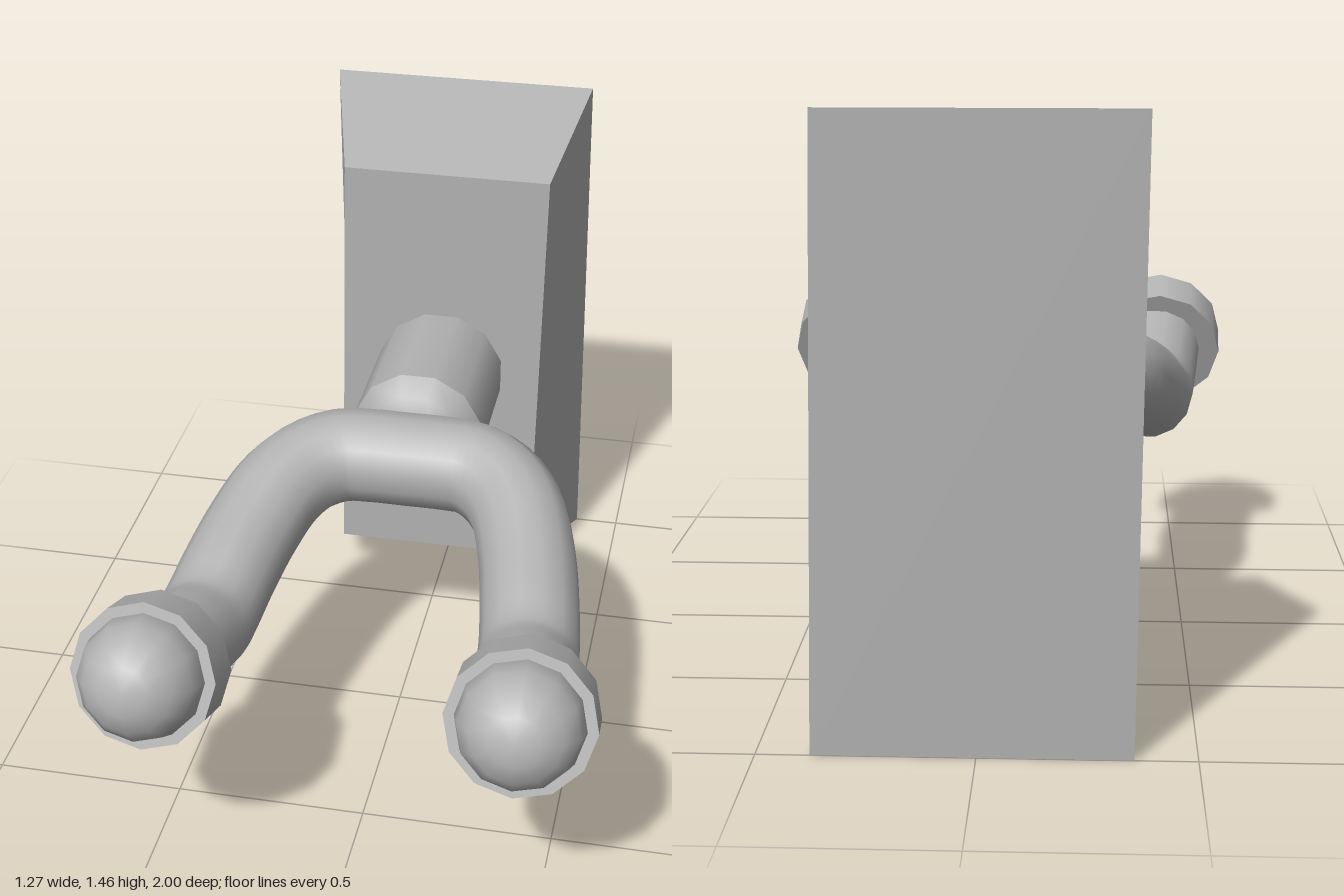
import * as THREE from 'three';

export function createModel() {
  const group = new THREE.Group();
  const grey = new THREE.MeshStandardMaterial({ color: 0xb2b2b2 });
  grey.name = 'grey';
  const add = (name, geometry, parent = group) => {
    const mesh = new THREE.Mesh(geometry, grey);
    mesh.name = name;
    parent.add(mesh);
    return mesh;
  };
  const V = (x, y, z) => new THREE.Vector3(x, y, z);

  // Wall plate: a box tapered towards the front, slightly skewed
  const plate = new THREE.BoxGeometry(2, 2, 2);
  const p = plate.attributes.position;
  for (let i = 0; i < p.count; i++) {
    const sx = p.getX(i), top = p.getY(i) > 0, front = p.getZ(i) > 0;
    const x = sx * (front ? 0.284 : 0.366) + (top ? 1 : -1) * (front ? 0.01 : -0.01);
    const y = front ? (top ? 1.337 : 0.12) : (top ? 1.456 : 0);
    p.setXYZ(i, x, y, front ? -0.6 : -1);
  }
  plate.computeVertexNormals();
  add('wallPlate', plate);

  // Stem: straight barrel with a bevelled front end
  const barrel = new THREE.CylinderGeometry(0.18, 0.18, 0.37, 12, 1, true, Math.PI / 12);
  barrel.rotateX(Math.PI / 2).translate(0, 0.73, -0.435);
  add('stem', barrel);
  const nose = new THREE.LatheGeometry(
    [[0.18, -0.25], [0.14, -0.195], [0.07, -0.167], [0, -0.163]].map(([r, y]) => new THREE.Vector2(r, y)),
    12, Math.PI / 12);
  nose.rotateX(Math.PI / 2).translate(0, 0.73, 0);
  add('stemNose', nose);

  // Fork: one bent tube, mirrored from half of its centre line
  const half = [
    V(0.09, 0.722, -0.116), V(0.18, 0.72, -0.107), V(0.26, 0.705, -0.06), V(0.32, 0.678, 0.02),
    V(0.365, 0.63, 0.15), V(0.395, 0.58, 0.3), V(0.41, 0.546, 0.4), V(0.417, 0.54, 0.48),
    V(0.43, 0.574, 0.6), V(0.447, 0.627, 0.77),
  ];
  const path = [
    ...half.slice().reverse().map(v => V(-v.x, v.y, v.z)),
    V(0, 0.722, -0.116),
    ...half,
  ];
  add('fork', new THREE.TubeGeometry(new THREE.CatmullRomCurve3(path, false, 'centripetal'), 64, 0.127, 14));

  // Tips: a collar and a rounded cap on each prong
  for (const side of [1, -1]) {
    const tip = new THREE.Group();
    tip.name = side > 0 ? 'leftTip' : 'rightTip';
    tip.position.set(side * 0.45, 0.633, 0.793);
    tip.quaternion.setFromUnitVectors(V(0, 1, 0), V(side * 0.04, 0.36, 0.93).normalize());
    add('collar', new THREE.CylinderGeometry(0.182, 0.182, 0.125, 12), tip);
    const cap = add('cap', new THREE.SphereGeometry(0.156, 12, 8), tip);
    cap.position.y = 0.06;
    group.add(tip);
  }
  return group;
}
